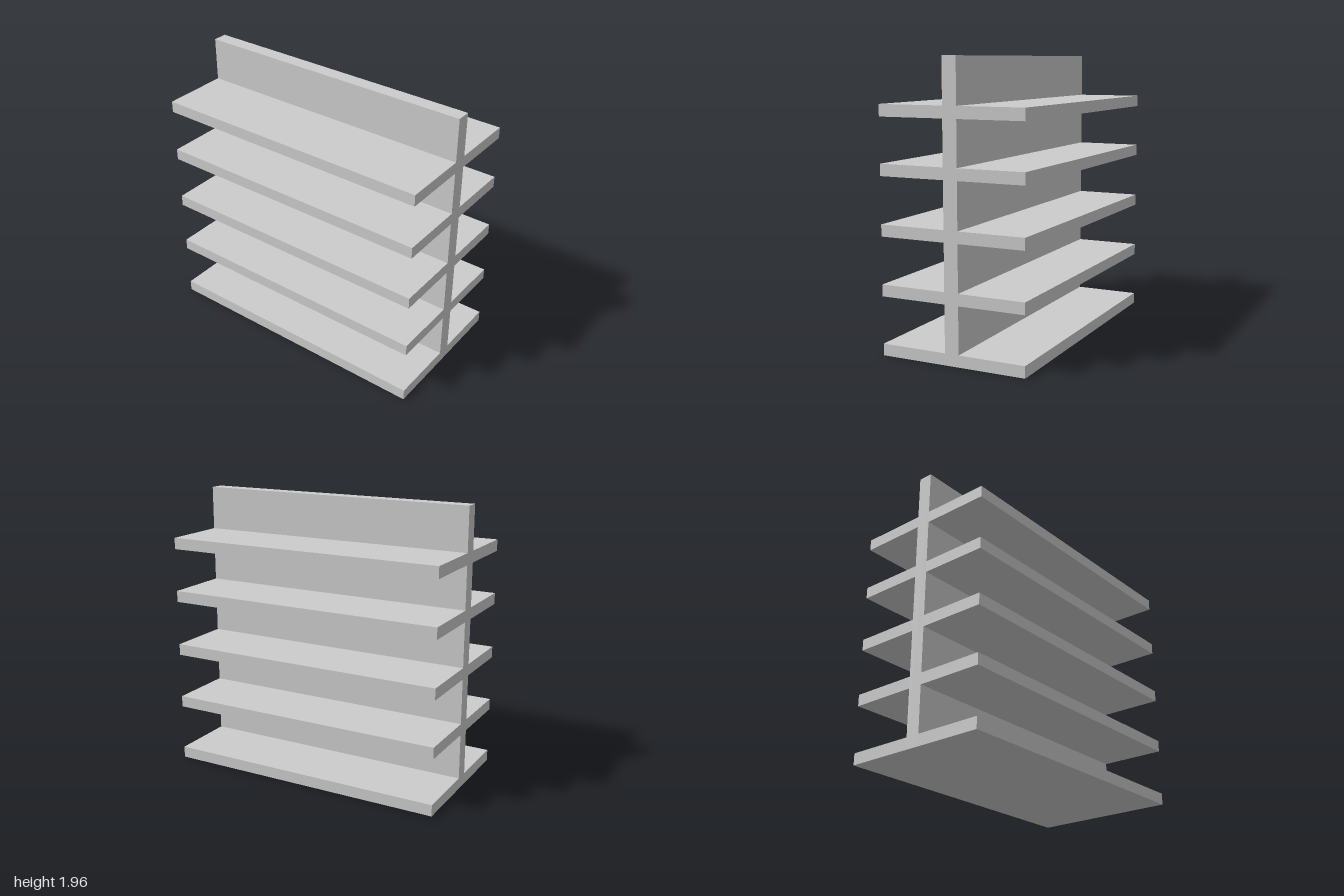
import * as THREE from 'three';

const WIDTH = 2;
const PANEL_HEIGHT = 1.96;
const PANEL_DEPTH = 0.1;
const SHELF_REACH = 0.468; // from the panel face to the shelf edge
const SHELF_THICKNESS = 0.08;
const SHELF_BOTTOMS = [0, 0.4, 0.798, 1.193, 1.575];

export function createModel() {
  const model = new THREE.Group();
  model.name = 'doubleSidedShelf';
  const material = new THREE.MeshStandardMaterial({ color: 0xcccccc, flatShading: true });

  const addBox = (name, height, depth, bottom, z) => {
    const mesh = new THREE.Mesh(new THREE.BoxGeometry(WIDTH, height, depth), material);
    mesh.name = name;
    mesh.position.set(0, bottom + height / 2, z);
    model.add(mesh);
  };

  // Upright panel in the middle
  addBox('centrePanel', PANEL_HEIGHT, PANEL_DEPTH, 0, 0);

  // Shelves butt against both faces of the panel
  const offset = (PANEL_DEPTH + SHELF_REACH) / 2;
  SHELF_BOTTOMS.forEach((bottom, i) => {
    addBox(`frontShelf${i + 1}`, SHELF_THICKNESS, SHELF_REACH, bottom, offset);
    addBox(`backShelf${i + 1}`, SHELF_THICKNESS, SHELF_REACH, bottom, -offset);
  });

  return model;
}
